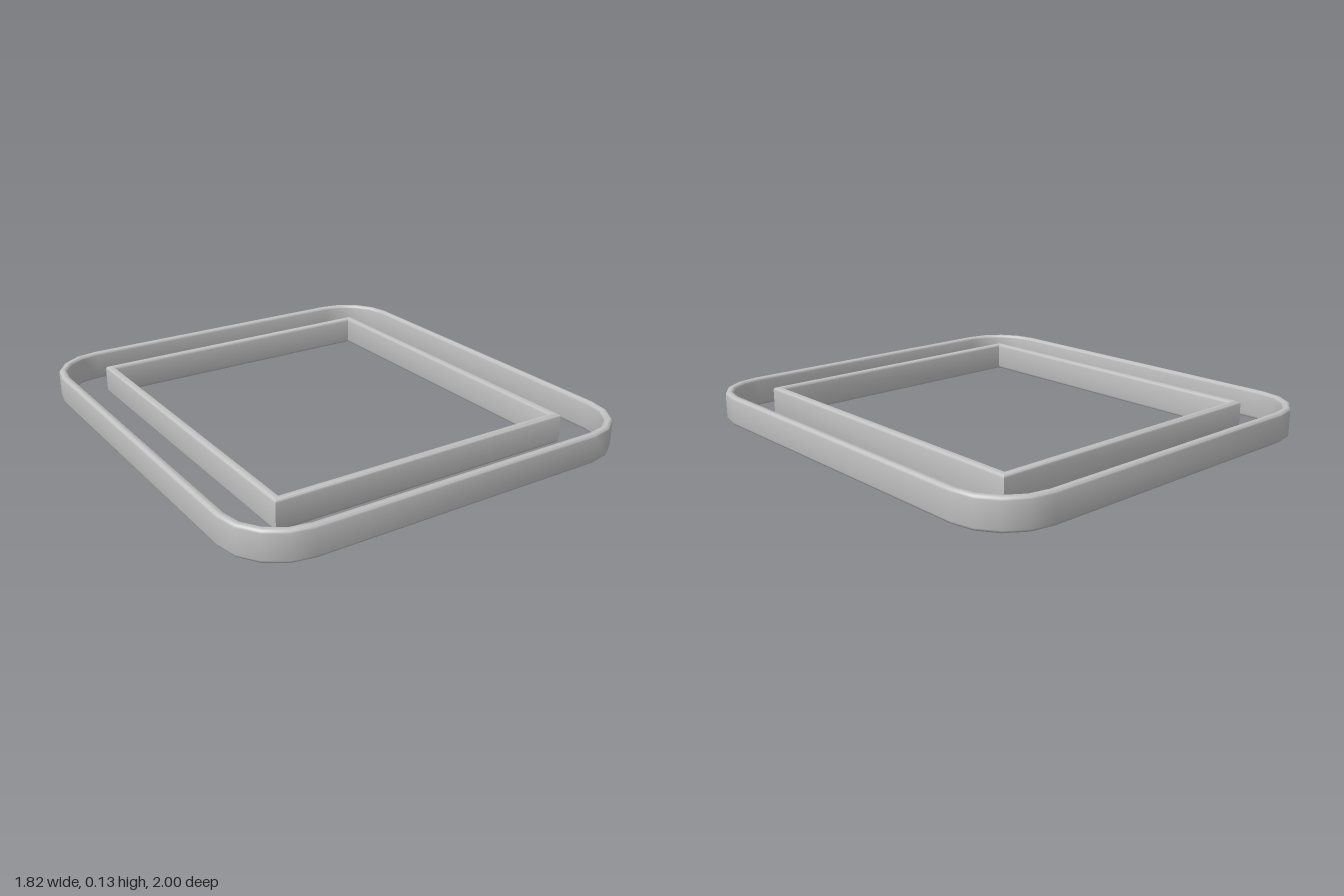
import * as THREE from 'three';
import { toCreasedNormals } from 'three/addons/utils/BufferGeometryUtils.js';

const HEIGHT = 0.13, HALF_WIDTH = 0.0175, EDGE = 0.013;

// Rounded upright cross-section as [offset, y] pairs, counter-clockwise
function bandProfile() {
  const points = [];
  for (let q = 0; q < 4; q++) {
    const cx = (q === 0 || q === 3 ? 1 : -1) * (HALF_WIDTH - EDGE);
    const cy = q < 2 ? HEIGHT - EDGE : EDGE;
    for (let i = 0; i <= 3; i++) {
      const a = (q + i / 3) * Math.PI / 2;
      points.push([cx + EDGE * Math.cos(a), cy + EDGE * Math.sin(a)]);
    }
  }
  return points;
}

// Sweep the profile round a rectangle; halfX and halfZ are the outer half sizes.
// With no corner segments the corners are mitred.
function bandGeometry(halfX, halfZ, radius, segments) {
  const profile = bandProfile(), n = profile.length;
  const signs = [[1, 1], [-1, 1], [-1, -1], [1, -1]];
  const positions = [], index = [];
  let rings = 0;
  signs.forEach(([sx, sz], corner) => {
    for (let i = 0; i <= segments; i++, rings++) {
      const a = (corner + (segments ? i / segments : 0)) * Math.PI / 2;
      const dx = segments ? Math.cos(a) : sx;
      const dz = segments ? Math.sin(a) : sz;
      for (const [d, y] of profile) {
        const r = radius - HALF_WIDTH + d;
        positions.push(sx * (halfX - radius) + dx * r, y, sz * (halfZ - radius) + dz * r);
      }
    }
  });
  for (let i = 0; i < rings; i++) {
    for (let j = 0; j < n; j++) {
      const k = (j + 1) % n, next = (i + 1) % rings;
      const a = i * n + j, b = i * n + k, c = next * n + k, d = next * n + j;
      index.push(a, b, c, a, c, d);
    }
  }
  const geometry = new THREE.BufferGeometry();
  geometry.setAttribute('position', new THREE.Float32BufferAttribute(positions, 3));
  geometry.setIndex(index);
  return toCreasedNormals(geometry, 0.9);
}

export function createModel() {
  const model = new THREE.Group();
  model.name = 'nestedFrames';
  const grey = new THREE.MeshStandardMaterial({ color: 0xc0c0c0 });
  grey.name = 'grey';

  // Rounded outer band
  const outer = new THREE.Mesh(bandGeometry(0.91, 1, 0.25, 4), grey);
  outer.name = 'outerBand';

  // Square-cornered inner band
  const inner = new THREE.Mesh(bandGeometry(0.69, 0.777, 0, 0), grey);
  inner.name = 'innerBand';

  model.add(outer, inner);
  return model;
}
